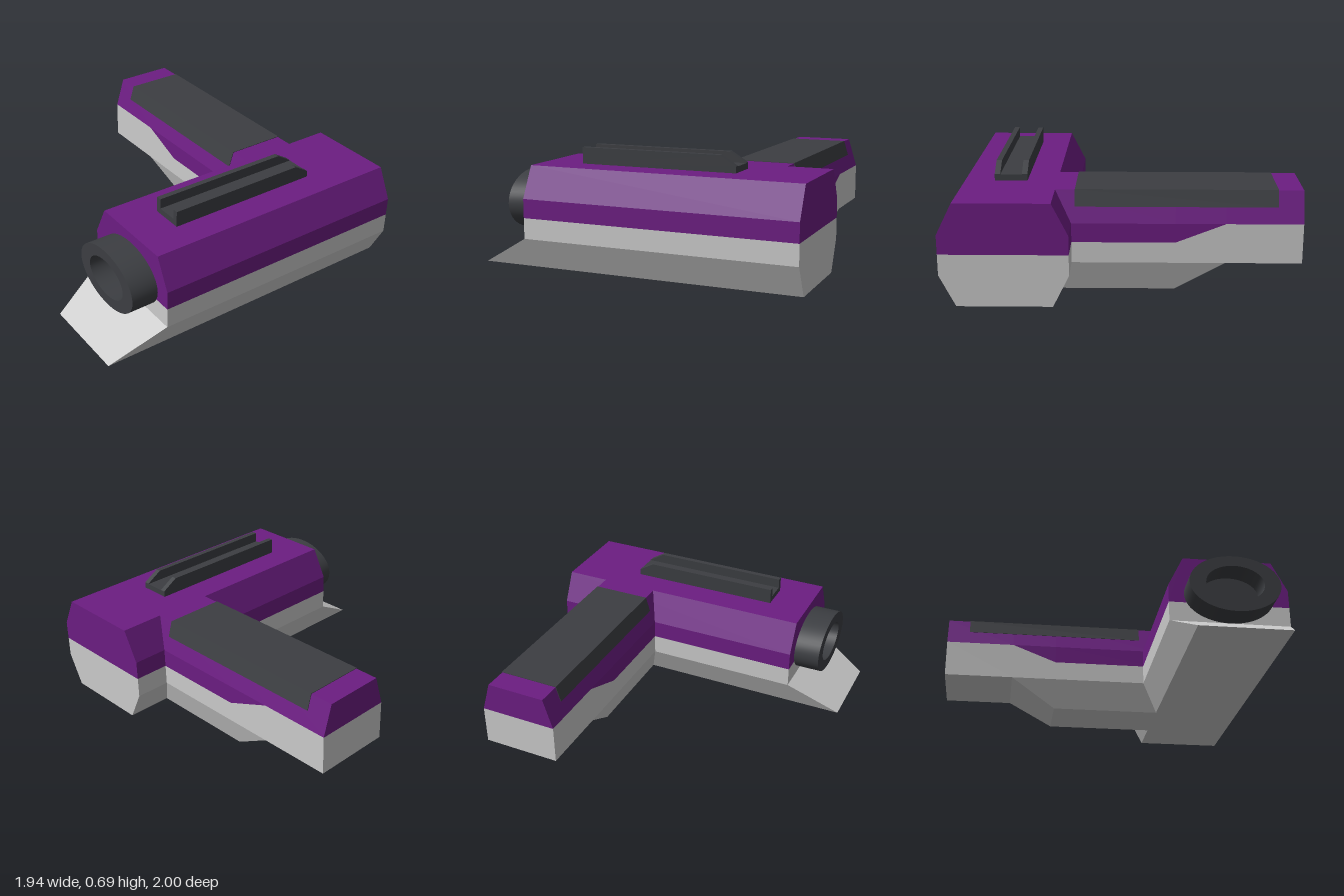
import * as THREE from 'three';
import { toCreasedNormals } from 'three/addons/utils/BufferGeometryUtils.js';

const paint = (color) => new THREE.MeshStandardMaterial({ color });

// Closed, flat-faced solid skinned over rings of [x, y, z] points
function loft(rings) {
  const n = rings[0].length;
  const tris = [];
  for (let r = 0; r < rings.length - 1; r++) {
    const a = rings[r], b = rings[r + 1];
    for (let i = 0; i < n; i++) {
      const j = (i + 1) % n;
      tris.push([a[i], a[j], b[j]], [a[i], b[j], b[i]]);
    }
  }
  const first = rings[0], last = rings[rings.length - 1];
  for (let i = 1; i < n - 1; i++) {
    tris.push([first[0], first[i + 1], first[i]], [last[0], last[i], last[i + 1]]);
  }
  // Signed volume tells whether the faces point outwards
  const v = (p) => new THREE.Vector3(...p);
  const volume = tris.reduce((s, [p, q, t]) => s + v(p).dot(v(q).cross(v(t))), 0);
  if (volume < 0) tris.forEach((t) => t.reverse());
  const geometry = new THREE.BufferGeometry();
  geometry.setAttribute('position', new THREE.Float32BufferAttribute(tris.flat(2), 3));
  geometry.computeVertexNormals();
  return geometry;
}

export function createModel() {
  const group = new THREE.Group();
  const purple = paint(0x6c1d82), grey = paint(0xcccccc), dark = paint(0x3c3e42);
  const add = (name, geometry, material) => {
    const mesh = new THREE.Mesh(geometry, material);
    mesh.name = name;
    group.add(mesh);
    return mesh;
  };

  // Barrel housing: [z, y] outlines swept along x
  const upper = [[0.29, 0.3], [0.29, 0.41], [0.38, 0.59], [0.91, 0.59], [1, 0.41], [1, 0.3]];
  const lower = [[0.29, 0.18], [0.29, 0.3], [1, 0.3], [1, 0.18], [0.91, 0], [0.38, 0]];
  const sweepX = (outline, frontX) => loft([
    outline.map(([z, y]) => [frontX(y), y, z]),
    outline.map(([z, y]) => [0.97, y, z]),
  ]);
  add('upperHousing', sweepX(upper, () => -0.65), purple);
  // The lower housing runs out into a sloping lip
  add('lowerHousing', sweepX(lower, (y) => (y === 0 ? -0.97 : -0.65)), grey);

  // Grip: stations along z as [z, colour seam y, underside y, underside inset]
  const stations = [
    [0.38, 0.3, 0, 0.06], [-0.29, 0.3, 0, 0.06],
    [-0.57, 0.41, 0.18, 0], [-1, 0.41, 0.18, 0],
  ];
  const L = 0.295, R = 0.76;
  add('upperGrip', loft(stations.map(([z, seam]) => [
    [L, seam, z], [L, 0.41, z], [L + 0.055, 0.59, z],
    [R - 0.055, 0.59, z], [R, 0.41, z], [R, seam, z],
  ])), purple);
  add('lowerGrip', loft(stations.map(([z, seam, base, inset]) => [
    [L, 0.18, z], [L, seam, z], [R, seam, z],
    [R, 0.18, z], [R - inset, base, z], [L + inset, base, z],
  ])), grey);

  // Thin dark cover wrapped over the top of the grip
  add('gripPanel', loft([0.27, -0.86].map((z) => [
    [L + 0.024, 0.5, z], [L + 0.052, 0.593, z],
    [R - 0.052, 0.593, z], [R - 0.024, 0.5, z],
  ])), dark);

  // Oval hollow muzzle
  const profile = [[1, 0], [1, 0.16], [0.64, 0.16], [0.64, 0.01], [0, 0.01]]
    .map(([r, h]) => new THREE.Vector2(r, h));
  const lathe = new THREE.LatheGeometry(profile, 48);
  lathe.scale(0.175, 1, 0.265);
  lathe.rotateZ(Math.PI / 2);
  const muzzle = add('muzzle', toCreasedNormals(lathe, Math.PI / 5), dark);
  muzzle.position.set(-0.65, 0.355, 0.645);

  // Sight rail: a floor between two walls with bevelled ends
  const floor = add('railFloor', new THREE.BoxGeometry(0.94, 0.035, 0.13), dark);
  floor.position.set(0.06, 0.6075, 0.645);
  const wall = [[-0.41, 0.59], [0.53, 0.59], [0.53, 0.627], [0.435, 0.685], [-0.41, 0.685]];
  for (const [name, z] of [['railWallBack', 0.552], ['railWallFront', 0.708]]) {
    add(name, loft([z, z + 0.032].map((d) => wall.map(([x, y]) => [x, y, d]))), dark);
  }
  return group;
}
